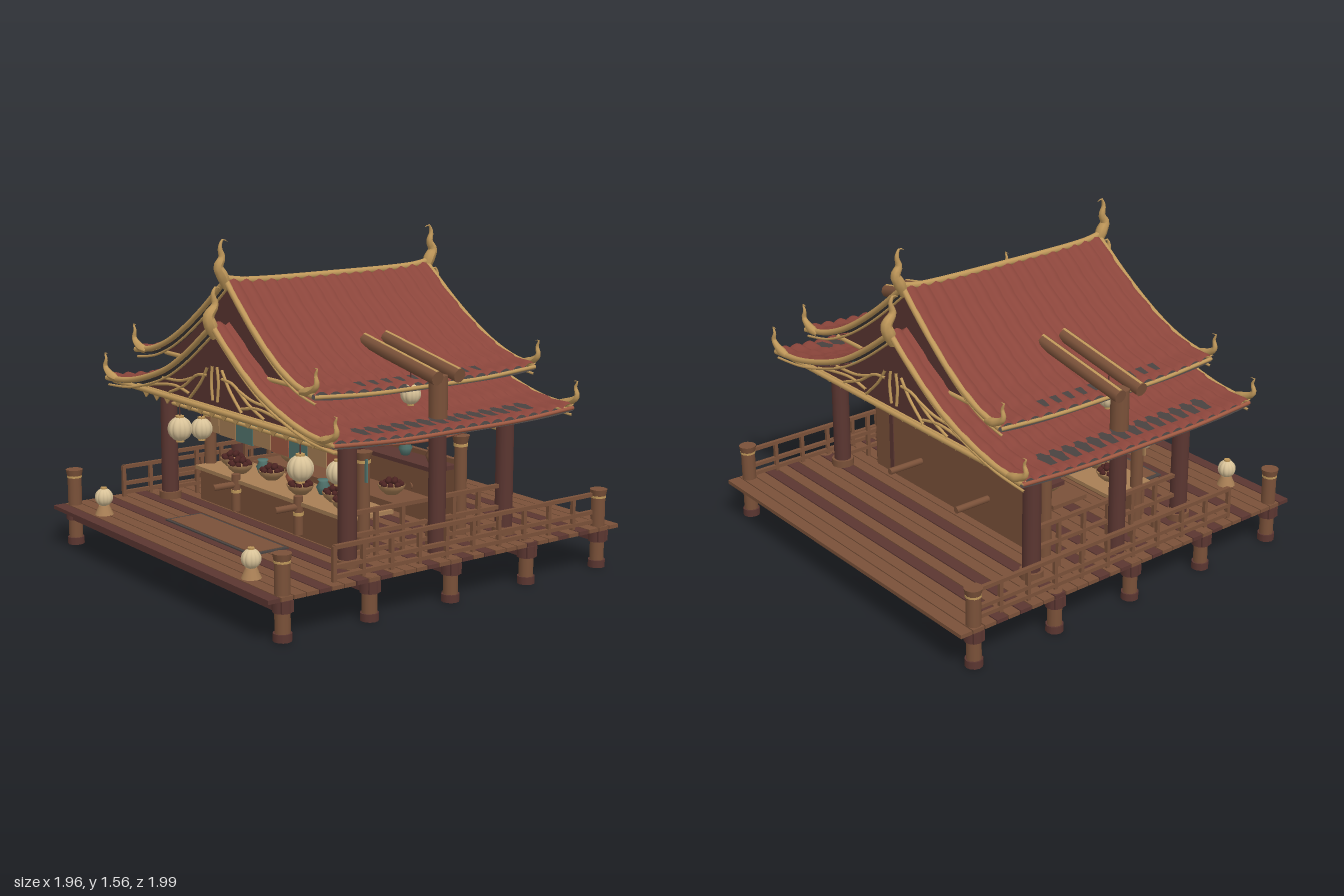
import * as THREE from 'three';

const mat = (name, color, side = THREE.FrontSide) => {
  const m = new THREE.MeshStandardMaterial({ color, side });
  m.name = name;
  return m;
};
const V = (x, y, z) => new THREE.Vector3(x, y, z);

export function createModel() {
  const root = new THREE.Group();
  const D = THREE.DoubleSide;
  const tile = mat('tileRed', 0x8b453b, D), gold = mat('gold', 0xc0985a), dark = mat('darkWood', 0x5b3631, D);
  const wood = mat('wood', 0x7a5139), cream = mat('cream', 0xd8c298), teal = mat('teal', 0x52756e, D);
  const char = mat('charcoal', 0x484240, D), tan = mat('tan', 0xa87f55), fruit = mat('fruit', 0x4c2422);
  const rust = mat('rust', 0xa05a42);

  const add = (name, geo, m, x = 0, y = 0, z = 0) => {
    const o = new THREE.Mesh(geo, m);
    o.name = name;
    o.position.set(x, y, z);
    root.add(o);
    return o;
  };
  const box = (name, m, w, h, d, x, y, z) => add(name, new THREE.BoxGeometry(w, h, d), m, x, y, z);
  const cyl = (name, m, r, y0, y1, x, z, r2 = r) =>
    add(name, new THREE.CylinderGeometry(r2, r, y1 - y0, 12), m, x, (y0 + y1) / 2, z);
  const rod = (name, m, a, b, r) => {
    const o = add(name, new THREE.CylinderGeometry(r, r, a.distanceTo(b), 10), m);
    o.position.copy(a).lerp(b, 0.5);
    o.quaternion.setFromUnitVectors(V(0, 1, 0), b.clone().sub(a).normalize());
    return o;
  };
  const tube = (name, m, pts, r, seg = 28) =>
    add(name, new THREE.TubeGeometry(new THREE.CatmullRomCurve3(pts), seg, r, 8), m);
  // tube that swells near its root and narrows to a point
  const horn = (name, pts, r) => {
    const o = tube(name, gold, pts, r, 18), p = o.geometry.attributes.position;
    const path = o.geometry.parameters.path;
    for (let i = 0; i < p.count; i++) {
      const t = Math.floor(i / 9) / 18, c = path.getPointAt(t);
      const k = (1.02 - t) * Math.min(1.1, 0.5 + 2.5 * t);
      const v = V(p.getX(i), p.getY(i), p.getZ(i)).sub(c).multiplyScalar(k).add(c);
      p.setXYZ(i, v.x, v.y, v.z);
    }
    o.geometry.computeVertexNormals();
  };

  // deck planks, beams, underfloor and foot posts
  for (let i = 0; i < 31; i++)
    box('deckPlank', [3, 5, 8].includes(i % 9) ? dark : wood, 1.88, 0.018, 0.059, 0, 0.19, -0.968 + i * 0.06453);
  box('underfloor', char, 1.4, 0.008, 1.16, 0, 0.176, 0.1);
  box('doorMatEdge', char, 0.74, 0.006, 0.2, 0, 0.202, 0.6);
  box('doorMat', wood, 0.7, 0.006, 0.17, 0, 0.205, 0.6);
  for (const z of [-0.9, -0.45, 0, 0.45, 0.9]) {
    box('deckBeam', dark, 1.88, 0.05, 0.06, 0, 0.153, z);
    for (const x of [-0.9, 0.9]) {
      const end = Math.abs(z) > 0.8, top = end ? 0.37 : 0.2;
      cyl('footPost', wood, 0.034, 0, top, x, z);
      cyl('postFoot', dark, 0.041, 0, 0.035, x, z);
      cyl('postCollar', dark, 0.044, 0.125, 0.18, x, z);
      if (end) {
        cyl('postCap', wood, 0.036, 0.345, 0.375, x, z, 0.042);
        cyl('postBand', gold, 0.037, 0.335, 0.345, x, z);
      }
    }
  }

  // side railings
  const railing = (x, z0, z1, ys, n) => {
    for (const y of ys) box('rail', wood, 0.02, 0.018, z1 - z0, x, y, (z0 + z1) / 2);
    for (let i = 0; i <= n; i++)
      box('baluster', wood, 0.018, ys[0] - 0.19, 0.018, x, (ys[0] + 0.2) / 2, z0 + (z1 - z0) * i / n);
  };
  for (const s of [-1, 1]) {
    railing(s * 0.89, -0.9, 0.63, [0.35, 0.265, 0.22], 10);
    railing(s * 0.74, -0.44, 0.44, [0.43, 0.33, 0.25], 6);
    // main columns and the tall king post
    for (const z of [-0.45, 0.45]) {
      cyl('column', dark, 0.042, 0.2, 0.785, s * 0.74, z);
      cyl('columnFoot', wood, 0.055, 0.2, 0.235, s * 0.74, z);
      cyl('columnHead', wood, 0.045, 0.745, 0.785, s * 0.74, z);
      cyl('columnBand', gold, 0.046, 0.735, 0.745, s * 0.74, z);
    }
    cyl('kingPost', dark, 0.04, 0.2, 0.8, s * 0.8, 0);
    cyl('kingPostHead', wood, 0.043, 0.8, 1.0, s * 0.8, 0);
    // inner booth posts
    for (const z of [-0.28, 0.28]) {
      cyl('boothPost', wood, 0.03, 0.2, 0.66, s * 0.63, z);
      cyl('boothPostCap', wood, 0.032, 0.63, 0.665, s * 0.63, z, 0.042);
      cyl('boothPostBand', gold, 0.034, 0.615, 0.628, s * 0.63, z);
      cyl('floorStub', tan, 0.024, 0.115, 0.19, s * 0.26, z);
      // counter brackets
      const d = Math.sign(z);
      rod('bracketPole', wood, V(s * 0.26, 0.35, z), V(s * 0.26, 0.35, z + d * 0.22), 0.016);
      if (d > 0) {
        cyl('bracketPost', wood, 0.022, 0.22, 0.4, s * 0.26, 0.37);
        cyl('bracketBand', gold, 0.025, 0.31, 0.325, s * 0.26, 0.37);
      }
    }
    // side valance with a sagging hem
    const sag = new THREE.Shape();
    sag.moveTo(-0.43, 0.8).lineTo(0.43, 0.8).lineTo(0.43, 0.725).quadraticCurveTo(0, 0.665, -0.43, 0.725);
    add('sideValance', new THREE.ShapeGeometry(sag, 16), teal, s * 0.72).rotation.y = Math.PI / 2;
    tube('valanceHem', rust, [V(s * 0.72, 0.723, -0.43), V(s * 0.72, 0.693, 0), V(s * 0.72, 0.723, 0.43)], 0.008);
    // twin logs through the upper roof
    for (const z of [-0.062, 0.062]) {
      rod('crossLog', wood, V(s * 0.87, 1.0, z), V(s * 0.35, 1.1, z), 0.032);
      rod('logInlay', gold, V(s * 0.87, 1.025, z), V(s * 0.35, 1.125, z), 0.01);
    }
  }

  // counter, back wall, shelf and inner table
  box('counterFront', wood, 1.24, 0.16, 0.03, 0, 0.28, 0.33);
  box('counterTop', tan, 1.26, 0.018, 0.26, 0, 0.365, 0.24);
  box('backWall', wood, 1.26, 0.34, 0.025, 0, 0.37, -0.3);
  box('shelf', dark, 1.2, 0.02, 0.14, 0, 0.51, -0.21);
  box('innerTable', wood, 1.1, 0.02, 0.2, 0, 0.365, -0.06);
  for (const x of [-0.6, 0.5]) box('wallBatten', dark, 0.03, 0.34, 0.02, x, 0.37, -0.307);

  // bowls of fruit
  const bowlGeo = new THREE.LatheGeometry(
    [[0, 0], [0.03, 0], [0.055, 0.022], [0.066, 0.045], [0.058, 0.042], [0, 0.03]].map(p => new THREE.Vector2(...p)), 14);
  const berry = new THREE.IcosahedronGeometry(0.015, 1);
  const bowl = (x, y, z) => {
    add('bowl', bowlGeo, tan, x, y, z);
    for (let i = 0; i < 12; i++) {
      const r = i < 8 ? 0.045 : 0.02, a = i * Math.PI / (i < 8 ? 4 : 2);
      add('fruitPiece', berry, fruit, x + r * Math.cos(a), y + (i < 8 ? 0.047 : 0.063), z + r * Math.sin(a));
    }
  };
  [-0.5, -0.36, -0.16, 0.15, 0.36, 0.5].forEach((x, i) => bowl(x, 0.374, i % 2 ? 0.28 : 0.23));
  [-0.4, 0, 0.4].forEach(x => bowl(x, 0.375, -0.06));
  // jars on the counter and shelf
  const jarGeo = new THREE.LatheGeometry(
    [[0, 0], [0.02, 0], [0.034, 0.035], [0.02, 0.06], [0.028, 0.07], [0, 0.07]].map(p => new THREE.Vector2(...p)), 12);
  [-0.28, -0.03, 0.22].forEach((x, i) => add('jar', jarGeo, i === 1 ? rust : teal, x, 0.375, 0.2));
  [-0.45, -0.2, 0.05, 0.3, 0.5].forEach((x, i) => add('shelfJar', jarGeo, i % 2 ? teal : wood, x, 0.52, -0.22));

  // cloth strips and banner over the counter
  [tan, tan, teal, tan, rust, teal, tan, rust, teal].forEach((m, i) =>
    box('clothStrip', m, 0.144, 0.09 + (i % 3) * 0.008, 0.008, -0.6 + i * 0.15, 0.585, 0.29));
  rod('clothRod', wood, V(-0.63, 0.635, 0.28), V(0.63, 0.635, 0.28), 0.009);
  box('banner', teal, 0.64, 0.042, 0.008, 0, 0.66, 0.32);
  const tri = new THREE.Shape([[-0.035, 0], [0, -0.032], [0.035, 0]].map(p => new THREE.Vector2(...p)));
  const triGeo = new THREE.ExtrudeGeometry(tri, { depth: 0.006, bevelEnabled: false });
  for (let i = 0; i < 5; i++) add('bannerTriangle', triGeo, gold, -0.18 + i * 0.09, 0.68, 0.322);

  // lobed paper lanterns
  const lobed = new THREE.SphereGeometry(1, 60, 14), lp = lobed.attributes.position;
  for (let i = 0; i < lp.count; i++) {
    const k = 0.9 + 0.1 * Math.sqrt(Math.abs(Math.sin(5 * Math.atan2(lp.getZ(i), lp.getX(i)))));
    lp.setXYZ(i, lp.getX(i) * k, lp.getY(i), lp.getZ(i) * k);
  }
  lobed.computeVertexNormals();
  const lantern = (x, y, z, r, hang) => {
    add('lantern', lobed, cream, x, y, z).scale.setScalar(r);
    for (const k of [-1, 1]) cyl('lanternCap', gold, r * 0.35, y + k * r - 0.005, y + k * r + 0.005, x, z);
    if (hang) rod('lanternCord', dark, V(x, y + r, z), V(x, y + r + hang, z), 0.003);
  };
  for (const s of [-1, 1]) {
    lantern(s * 0.505, 0.6, 0.53, 0.06, 0.16);
    lantern(s * 0.565, 0.57, 0.37, 0.054, 0.18);
    lantern(s * 0.67, 0.9, 0.05, 0.046, 0.06);
    lantern(s * 0.64, 0.285, 0.88, 0.044, 0);
    cyl('lanternFoot', tan, 0.045, 0.2, 0.245, s * 0.64, 0.88, 0.025);
  }

  // roof slopes swept along a curved profile with rolls and stepped courses
  const slope = (name, m, R, s, lift, roll, step, u0 = 0, u1 = 1, span = 1) => {
    const nu = roll ? 36 : 16, nv = roll ? R.rows * 6 : 20, pos = [], idx = [];
    for (let i = 0; i <= nu; i++) for (let j = 0; j <= nv; j++) {
      const u = u0 + (u1 - u0) * i / nu, v = j / nv, p = R.curve.getPoint(u);
      const c = (u * R.courses) % 1;
      const y = p.y + lift + roll * Math.abs(Math.sin(Math.PI * v * R.rows)) + step * c + 0.02 * Math.pow((2 * v - 1) * span, 4);
      pos.push(s * p.x, y, (2 * v - 1) * span * (R.z0 + (R.z1 - R.z0) * u));
      if (i < nu && j < nv) {
        const a = i * (nv + 1) + j, b = a + nv + 1;
        s > 0 ? idx.push(a, a + 1, b, b, a + 1, b + 1) : idx.push(a, b, a + 1, b, b + 1, a + 1);
      }
    }
    const g = new THREE.BufferGeometry();
    g.setAttribute('position', new THREE.Float32BufferAttribute(pos, 3));
    g.setIndex(idx);
    g.computeVertexNormals();
    add(name, g, m);
  };
  const profile = pts => new THREE.SplineCurve(pts.map(p => new THREE.Vector2(...p)));
  const upper = { curve: profile([[0, 1.36], [0.15, 1.235], [0.3, 1.125], [0.45, 1.035], [0.6, 0.975], [0.745, 0.95]]),
    z0: 0.58, z1: 0.625, rows: 17, courses: 6, base: 0.97, gz: 0.555 };
  const lower = { curve: profile([[0, 1.16], [0.19, 1.025], [0.38, 0.915], [0.57, 0.845], [0.76, 0.8], [0.95, 0.785]]),
    z0: 0.655, z1: 0.675, rows: 19, courses: 7, base: 0.795, gz: 0.63 };
  for (const [R, n, patch, lift] of [[upper, 'upper', [0.85, 0.92], 0.014], [lower, 'lower', [0.83, 0.93], 0.018]]) {
    for (const s of [-1, 1]) {
      slope(n + 'RoofTiles', tile, R, s, 0, 0.018, 0.009);
      slope(n + 'RoofUnderside', char, R, s, -0.02, 0, 0);
      slope(n + 'RoofDarkCourse', char, R, s, lift, 0, 0, ...patch, n === 'upper' ? 0.6 : 0.74);
      const e = R.curve.getPoint(1);
      tube(n + 'EaveTrim', n === 'upper' ? gold : rust,
        [-1, -0.5, 0, 0.5, 1].map(v => V(s * (e.x - 0.004), e.y - 0.008 + 0.02 * v ** 4, v * R.z1)), 0.009);
      for (const d of [-1, 1]) {
        // gold bargeboards and upturned corner horns
        const at = (k, dy) => R.curve.getPoints(10).map((p, i) => V(s * p.x, p.y + dy, d * (R.z0 + (R.z1 - R.z0) * i / 10 + k)));
        tube(n + 'Bargeboard', gold, at(0.002, 0.016), 0.014);
        tube(n + 'BargeLine', gold, at(-0.008, -0.02), 0.006);
        const z = d * R.z1, x = s * (e.x - 0.02), k = n === 'upper' ? 0.9 : 1;
        horn(n + 'CornerHorn', [V(x - s * 0.08, e.y + 0.02, z), V(x - s * 0.01, e.y + 0.035, z), V(x + s * 0.04 * k, e.y + 0.07, z),
          V(x + s * 0.028, e.y + 0.11, z), V(x + s * 0.04, e.y + 0.137, z), V(x + s * 0.015, e.y + 0.135, z)], 0.025);
      }
    }
    // gable panels
    const half = R.curve.getPoints(16).map(p => new THREE.Vector2(p.x, p.y - 0.012)).filter(p => p.y > R.base);
    const g = new THREE.Shape([...half.map(p => new THREE.Vector2(-p.x, p.y)).reverse(), ...half.slice(1)]);
    const gg = new THREE.ExtrudeGeometry(g, { depth: 0.02, bevelEnabled: false });
    for (const d of [-1, 1]) {
      add(n + 'Gable', gg, dark, 0, 0, d * R.gz - 0.01);
      const w = half[half.length - 1].x;
      rod(n + 'GableSill', gold, V(-w, R.base, d * (R.gz + 0.01)), V(w, R.base, d * (R.gz + 0.01)), 0.011);
    }
  }
  tube('ridge', gold, [V(0, 1.385, -0.58), V(0, 1.372, -0.5), V(0, 1.365, 0), V(0, 1.372, 0.5), V(0, 1.385, 0.58)], 0.016);

  // front and back ornaments
  const branches = [
    [[0.02, 0.99], [0.03, 0.92], [0.02, 0.83]], [[0.06, 0.98], [0.12, 0.9], [0.22, 0.81]],
    [[0.06, 0.94], [0.15, 0.93], [0.27, 0.86], [0.4, 0.81]], [[0.19, 0.91], [0.3, 0.88], [0.46, 0.87]],
    [[0.22, 0.83], [0.34, 0.85], [0.52, 0.83], [0.62, 0.81]]];
  for (const d of [-1, 1]) {
    horn('ridgeHorn', [V(0, 1.34, d * 0.575), V(0, 1.4, d * 0.6), V(0, 1.44, d * 0.62), V(0, 1.48, d * 0.6),
      V(0, 1.525, d * 0.61), V(0, 1.56, d * 0.595), V(0, 1.55, d * 0.57)], 0.034);
    horn('gableHorn', [V(0, 1.12, d * 0.64), V(0, 1.18, d * 0.665), V(0, 1.22, d * 0.675), V(0, 1.27, d * 0.64),
      V(0, 1.32, d * 0.65), V(0, 1.35, d * 0.635), V(0, 1.34, d * 0.61)], 0.038);
    for (const s of [-1, 1]) for (const b of branches)
      tube('gableBranch', gold, b.map(p => V(s * p[0], p[1], d * 0.646)), 0.007, 10);
    rod('eaveBeam', gold, V(-0.93, 0.787, d * 0.648), V(0.93, 0.787, d * 0.648), 0.013);
    rod('tieRail', gold, V(-0.7, 0.685, d * 0.45), V(0.7, 0.685, d * 0.45), 0.009);
    box('tieBeam', dark, 1.48, 0.035, 0.04, 0, 0.755, d * 0.45);
    for (let i = 0; i < 15; i++) add('fringeTriangle', triGeo, gold, -0.7 + i * 0.1, 0.764, d * 0.6 - 0.003);
    box('fringeRail', dark, 1.6, 0.014, 0.02, 0, 0.77, d * 0.6);
  }
  return root;
}
